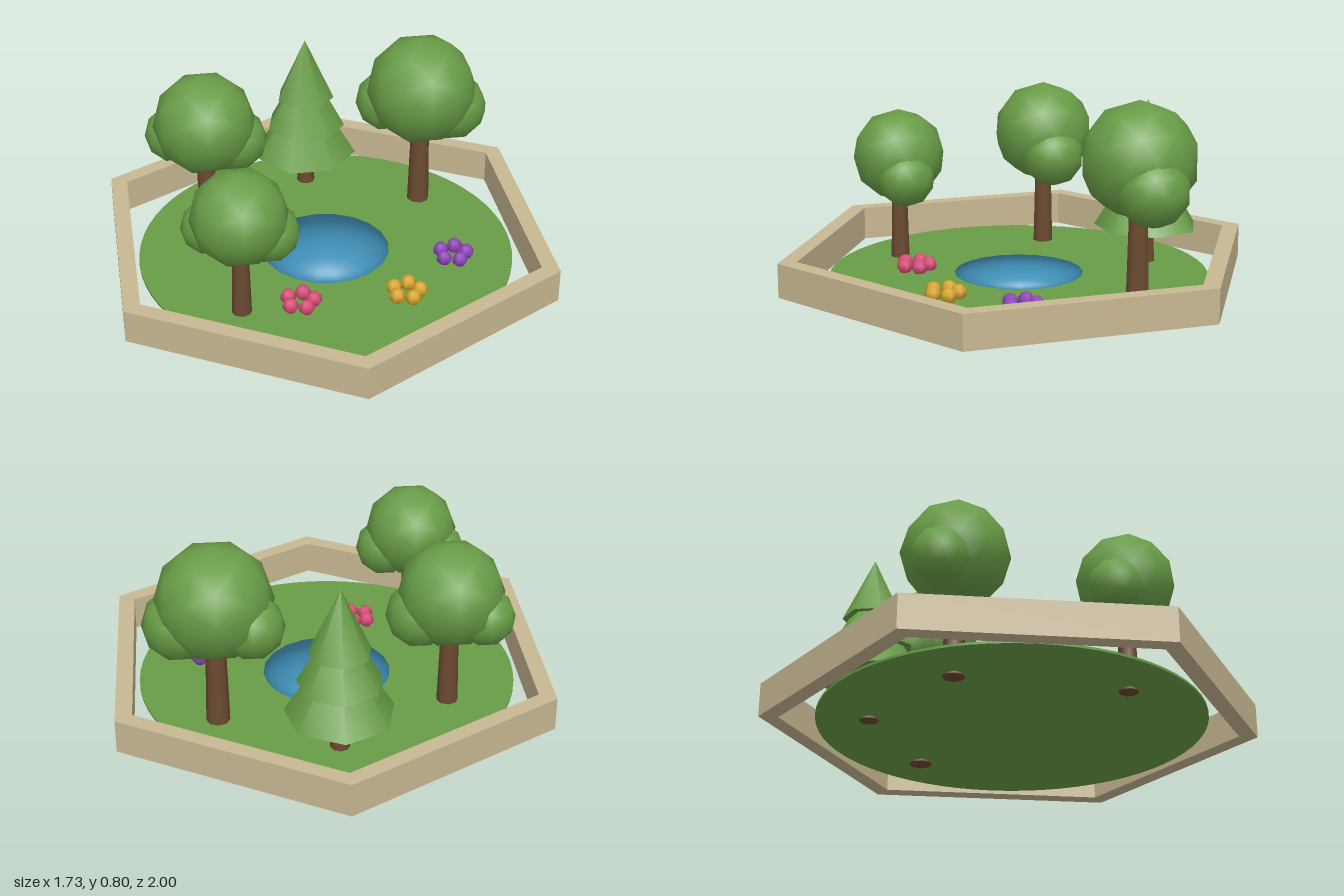
import * as THREE from 'three';

const flat = (name, color) => {
  const m = new THREE.MeshStandardMaterial({ color });
  m.name = name;
  return m;
};

export function createModel() {
  const stone = flat('sandstone', 0xc8b893);
  const green = flat('leafGreen', 0x689c46);
  const bark = flat('barkBrown', 0x6b4a30);
  const water = flat('waterBlue', 0x4090b8);
  const pink = flat('petalPink', 0xd84a78);
  const yellow = flat('petalYellow', 0xd9a52c);
  const purple = flat('petalPurple', 0x8e44b8);

  const model = new THREE.Group();
  model.name = 'hexagonalGarden';

  const add = (parent, name, geometry, material, x = 0, y = 0, z = 0) => {
    const mesh = new THREE.Mesh(geometry, material);
    mesh.name = name;
    mesh.position.set(x, y, z);
    parent.add(mesh);
    return mesh;
  };
  const group = (name, x, z) => {
    const g = new THREE.Group();
    g.name = name;
    g.position.set(x, 0, z);
    model.add(g);
    return g;
  };

  // Hexagonal border wall, open in the middle, with corners on the z axis
  const hexagon = (r) => Array.from({ length: 6 }, (_, i) => {
    const a = Math.PI / 2 + (i * Math.PI) / 3;
    return new THREE.Vector2(r * Math.cos(a), r * Math.sin(a));
  });
  const border = new THREE.Shape(hexagon(1));
  border.holes.push(new THREE.Path(hexagon(0.923)));
  const wall = new THREE.ExtrudeGeometry(border, { depth: 0.14, bevelEnabled: false });
  wall.rotateX(-Math.PI / 2);
  add(model, 'borderWall', wall, stone);

  // Round lawn
  add(model, 'lawn', new THREE.CylinderGeometry(0.78, 0.78, 0.01, 64), green, 0, 0.013, 0);

  // Pond: a dome pressed almost flat that keeps its rounded normals
  const pond = new THREE.SphereGeometry(0.265, 20, 10, 0, Math.PI * 2, 0, Math.PI / 2);
  const p = pond.attributes.position;
  for (let i = 0; i < p.count; i++) p.setY(i, p.getY(i) * 0.02);
  add(model, 'pond', pond, water, 0, 0.0185, 0);

  // Leafy trees: tapered trunk, main crown and two side lobes
  const leafyTree = (name, x, z, crownY, r) => {
    const tree = group(name, x, z);
    add(tree, 'trunk', new THREE.CylinderGeometry(r * 0.15, r * 0.205, crownY, 8), bark, 0, crownY / 2, 0);
    const blob = (part, size, dx, dy, dz) =>
      add(tree, part, new THREE.IcosahedronGeometry(r * size, 1), green, r * dx, crownY + r * dy, r * dz);
    blob('crown', 1, 0, 0, 0);
    blob('leftLobe', 0.62, 0.59, -0.4, 0);
    blob('rightLobe', 0.55, -0.6, -0.35, -0.3);
  };
  leafyTree('largeTree', 0.465, -0.335, 0.56, 0.235);
  leafyTree('mediumTree', -0.467, -0.27, 0.51, 0.215);
  leafyTree('smallTree', -0.4, 0.4, 0.46, 0.195);

  // Conifer: three stacked seven-sided cones
  const conifer = group('conifer', 0, -0.567);
  add(conifer, 'trunk', new THREE.CylinderGeometry(0.03, 0.04, 0.22, 8), bark, 0, 0.11, 0);
  [[0.22, 0.17, 0.36], [0.171, 0.305, 0.315], [0.124, 0.44, 0.27]].forEach(([r, y, h], i) => {
    const tier = add(conifer, `foliageTier${i + 1}`, new THREE.ConeGeometry(r, h, 7), green, 0, y + h / 2, 0);
    tier.rotation.y = Math.PI;
  });

  // Flower clumps: five small blossoms in a ring
  const flowers = (name, x, z, material) => {
    const clump = group(name, x, z);
    for (let i = 0; i < 5; i++) {
      const a = (i * Math.PI * 2) / 5;
      add(clump, 'blossom', new THREE.SphereGeometry(0.033, 6, 5), material,
        0.055 * Math.cos(a), 0.042, 0.055 * Math.sin(a));
    }
  };
  flowers('pinkFlowers', -0.165, 0.395, pink);
  flowers('yellowFlowers', 0.265, 0.395, yellow);
  flowers('purpleFlowers', 0.51, 0.158, purple);

  return model;
}
